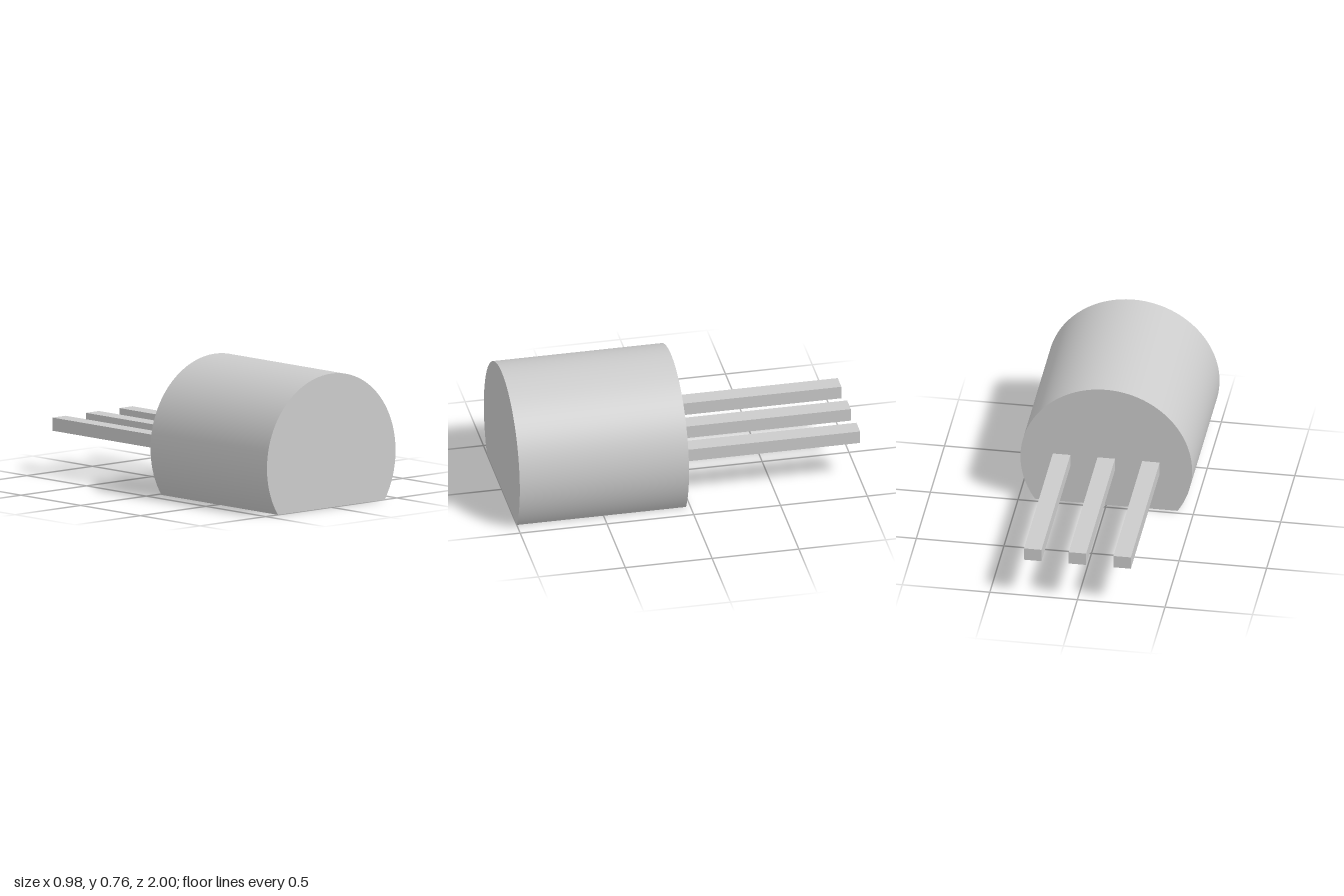
import * as THREE from 'three';
import { toCreasedNormals } from 'three/addons/utils/BufferGeometryUtils.js';

export function createModel() {
  const group = new THREE.Group();
  const material = new THREE.MeshStandardMaterial({ color: 0xcccccc });
  const add = (name, geometry, x, y, z) => {
    const mesh = new THREE.Mesh(geometry, material);
    mesh.name = name;
    mesh.position.set(x, y, z);
    group.add(mesh);
  };

  // Round housing cut flat along the bottom
  const radius = 0.49, axisY = 0.273, bodyBack = 0.025;
  const cut = Math.asin(axisY / radius);
  const profile = new THREE.Shape();
  profile.absarc(0, axisY, radius, -cut, Math.PI + cut, false);
  profile.closePath();
  const body = new THREE.ExtrudeGeometry(profile, {
    depth: 1 - bodyBack, bevelEnabled: false, curveSegments: 48,
  });
  add('housing', toCreasedNormals(body, Math.PI / 6), 0, 0, bodyBack);

  // Three straight pins out of the back face
  const pinLength = 1 + bodyBack;
  ['rightPin', 'middlePin', 'leftPin'].forEach((name, i) => {
    const pin = new THREE.BoxGeometry(0.1, 0.075, pinLength);
    add(name, pin, (i - 1) * 0.255, axisY, -1 + pinLength / 2);
  });
  return group;
}
